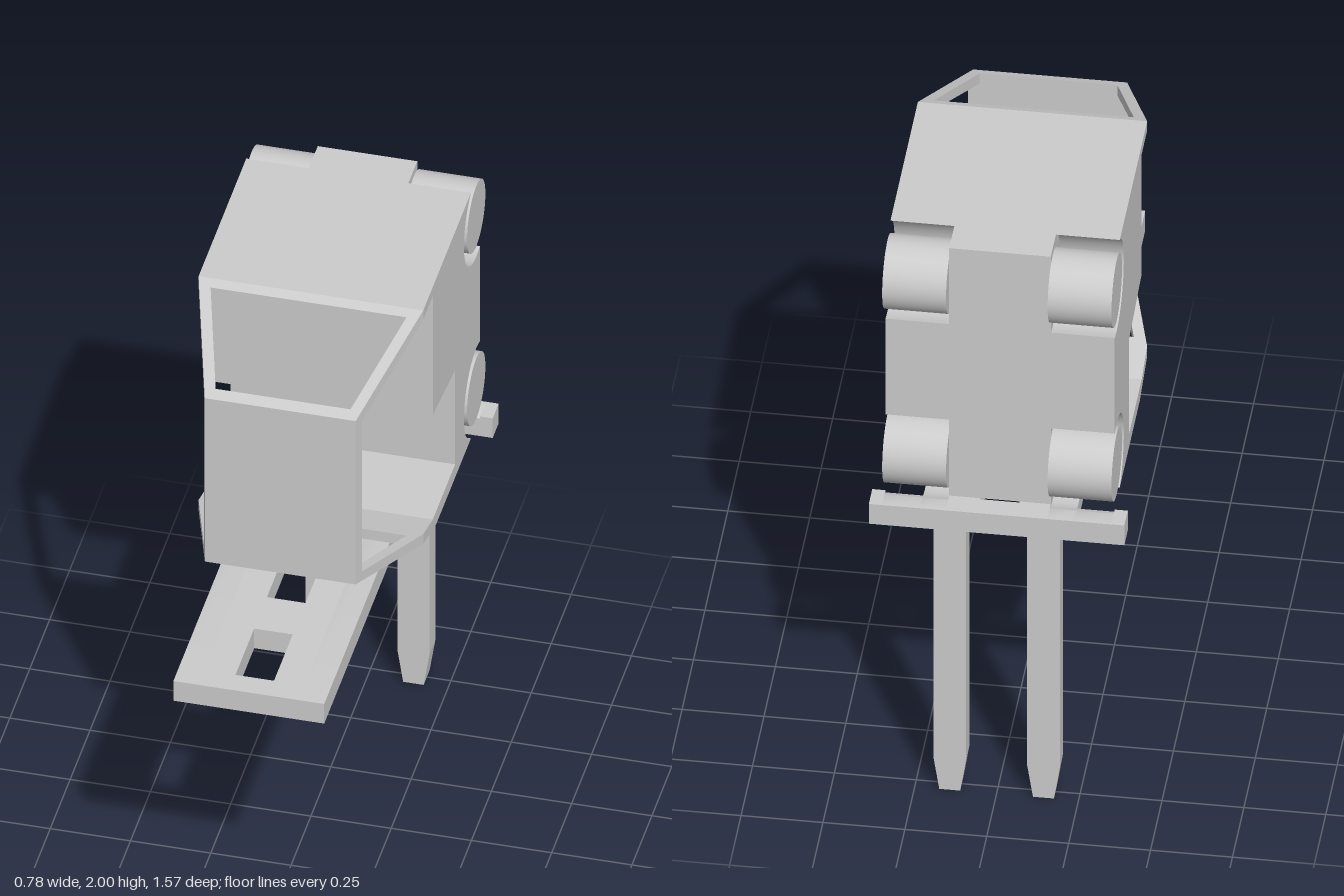
import * as THREE from 'three';
import { toCreasedNormals } from 'three/addons/utils/BufferGeometryUtils.js';

const material = new THREE.MeshStandardMaterial({ color: 0xcccccc });
const WELL_R = 0.155, WHEEL_R = 0.115, WHEEL_Z = -0.665, LOW_Y = 1.2, HIGH_Y = 1.86;

// Points along a wheel-well arc in the (z, y) plane
function wellArc(cy, a0, a1, n = 20) {
  return Array.from({ length: n + 1 }, (_, i) => {
    const a = a0 + (a1 - a0) * i / n;
    return [WHEEL_Z + WELL_R * Math.cos(a), cy + WELL_R * Math.sin(a)];
  });
}

// Side profile of (z, y) points extruded from x0 to x1
function slab(points, x0, x1) {
  const shape = new THREE.Shape(points.map(p => new THREE.Vector2(p[0], p[1])));
  const g = new THREE.ExtrudeGeometry(shape, { depth: x1 - x0, bevelEnabled: false });
  g.rotateY(-Math.PI / 2).translate(x1, 0, 0);
  return toCreasedNormals(g, 0.5);
}

// Loft through rectangles [z, x0, x1, y0, y1] listed from back to front
function loft(stations) {
  const rings = stations.map(([z, x0, x1, y0, y1]) =>
    [[x0, y0, z], [x1, y0, z], [x1, y1, z], [x0, y1, z]]);
  const pos = [];
  const quad = (a, b, c, d) => [a, b, c, a, c, d].forEach(p => pos.push(...p));
  for (let k = 0; k + 1 < rings.length; k++) {
    const a = rings[k], b = rings[k + 1];
    for (let i = 0; i < 4; i++) {
      const j = (i + 1) % 4;
      quad(a[i], a[j], b[j], b[i]);
    }
  }
  const first = rings[0], last = rings[rings.length - 1];
  quad(first[3], first[2], first[1], first[0]);
  quad(...last);
  const g = new THREE.BufferGeometry();
  g.setAttribute('position', new THREE.Float32BufferAttribute(pos, 3));
  g.computeVertexNormals();
  return g;
}

// Cab outline as functions of z
const halfWidth = z => 0.35 - 0.115 * Math.max(z, 0) / 0.385;
const opening = z => 0.305 - 0.095 * (z - 0.03) / 0.32;
const roofTop = z => 2 - 0.155 * Math.max(z, 0) / 0.385;
const roofUnder = z => 1.965 - 0.145 * Math.max(z, 0) / 0.35;
const floorUnder = z => 1.06 + 0.16 * Math.max(z + 0.16, 0) / 0.545;
const floorTop = z => 1.11 + 0.135 * Math.max(z + 0.12, 0) / 0.47;

export function createModel() {
  const model = new THREE.Group();
  const add = (name, geometry) => {
    const mesh = new THREE.Mesh(geometry, material);
    mesh.name = name;
    model.add(mesh);
    return mesh;
  };
  const box = (name, x0, x1, y0, y1, z0, z1) =>
    add(name, new THREE.BoxGeometry(x1 - x0, y1 - y0, z1 - z0))
      .position.set((x0 + x1) / 2, (y0 + y1) / 2, (z0 + z1) / 2);
  const mirrored = (name, points, x0, x1) => {
    add(name + 'Left', slab(points, x0, x1));
    add(name + 'Right', slab(points, -x1, -x0));
  };

  // Solid rear body, with wheel wells cut into both sides
  const phi = Math.asin(0.14 / WELL_R), psi = Math.acos(-0.045 / WELL_R);
  const seatEdge = [[-0.12, 2], [-0.12, 1.51], [-0.4, 1.47], [-0.4, 1.06]];
  add('bodyCore', slab([...seatEdge, [-0.71, 1.06], [-0.71, 2]], -0.155, 0.155));
  mirrored('bodySide', [...seatEdge,
    ...wellArc(LOW_Y, -phi, psi), ...wellArc(HIGH_Y, -psi, phi)], 0.155, 0.35);

  // Roof, floor and front panel of the open cab
  const full = (lo, hi) => z => [z, -halfWidth(z), halfWidth(z), lo(z), hi(z)];
  add('roof', loft([-0.12, 0, 0.03].map(full(roofUnder, roofTop))));
  add('floor', loft([-0.4, -0.16, -0.12, 0, 0.03].map(full(floorUnder, floorTop))));
  add('frontPanel', loft([0.35, 0.385].map(full(floorUnder, roofTop))));

  // Sloping pillars around the upper and lower openings
  for (const [name, lo, hi] of [['upperPillar', roofUnder, roofTop], ['lowerPillar', floorUnder, floorTop]]) {
    add(name + 'Left', loft([0.03, 0.35].map(z => [z, opening(z), halfWidth(z), lo(z), hi(z)])));
    add(name + 'Right', loft([0.03, 0.35].map(z => [z, -halfWidth(z), -opening(z), lo(z), hi(z)])));
  }

  // Wheels
  for (const s of [1, -1]) for (const y of [LOW_Y, HIGH_Y]) {
    const g = new THREE.CylinderGeometry(WHEEL_R, WHEEL_R, 0.195, 48).rotateZ(Math.PI / 2);
    add('wheel', g).position.set(s * 0.2525, y, WHEEL_Z);
  }

  // Base plank with a row of slots
  const plank = new THREE.Shape([[-0.155, -0.78], [0.155, -0.78], [0.155, 0.785], [-0.155, 0.785]]
    .map(p => new THREE.Vector2(...p)));
  for (let i = 0; i < 4; i++) {
    const z0 = 0.47 - 0.395 * i, z1 = z0 + 0.235;
    plank.holes.push(new THREE.Path([[-0.06, -z0], [0.06, -z0], [0.06, -z1], [-0.06, -z1]]
      .map(p => new THREE.Vector2(...p))));
  }
  add('plank', new THREE.ExtrudeGeometry(plank, { depth: 0.075, bevelEnabled: false })
    .rotateX(-Math.PI / 2).translate(0, 0.985, 0));

  // Plank edges and crossbar, grooved under the lower wheels
  const back = [[-0.785, 1.06], [-0.785, 0.985]];
  mirrored('plankEdge', [[0.78, 0.985], [0.78, 1.06],
    ...wellArc(LOW_Y, -phi, phi - Math.PI), ...back], 0.155, 0.235);
  mirrored('crossbar', [[-0.71, 0.985],
    ...wellArc(LOW_Y, -psi, phi - Math.PI, 6), ...back], 0.235, 0.35);
  box('crossbarEndLeft', 0.35, 0.39, 0.985, 1.06, -0.785, -0.71);
  box('crossbarEndRight', -0.39, -0.35, 0.985, 1.06, -0.785, -0.71);

  // Legs with tapered feet
  const leg = new THREE.Shape([[-0.032, 0], [0.032, 0], [0.05, 0.12], [0.05, 0.985], [-0.05, 0.985], [-0.05, 0.12]]
    .map(p => new THREE.Vector2(...p)));
  for (const s of [1, -1]) {
    add(s > 0 ? 'legLeft' : 'legRight', new THREE.ExtrudeGeometry(leg, { depth: 0.075, bevelEnabled: false }))
      .position.set(s * 0.143, 0, -0.785);
  }
  return model;
}
